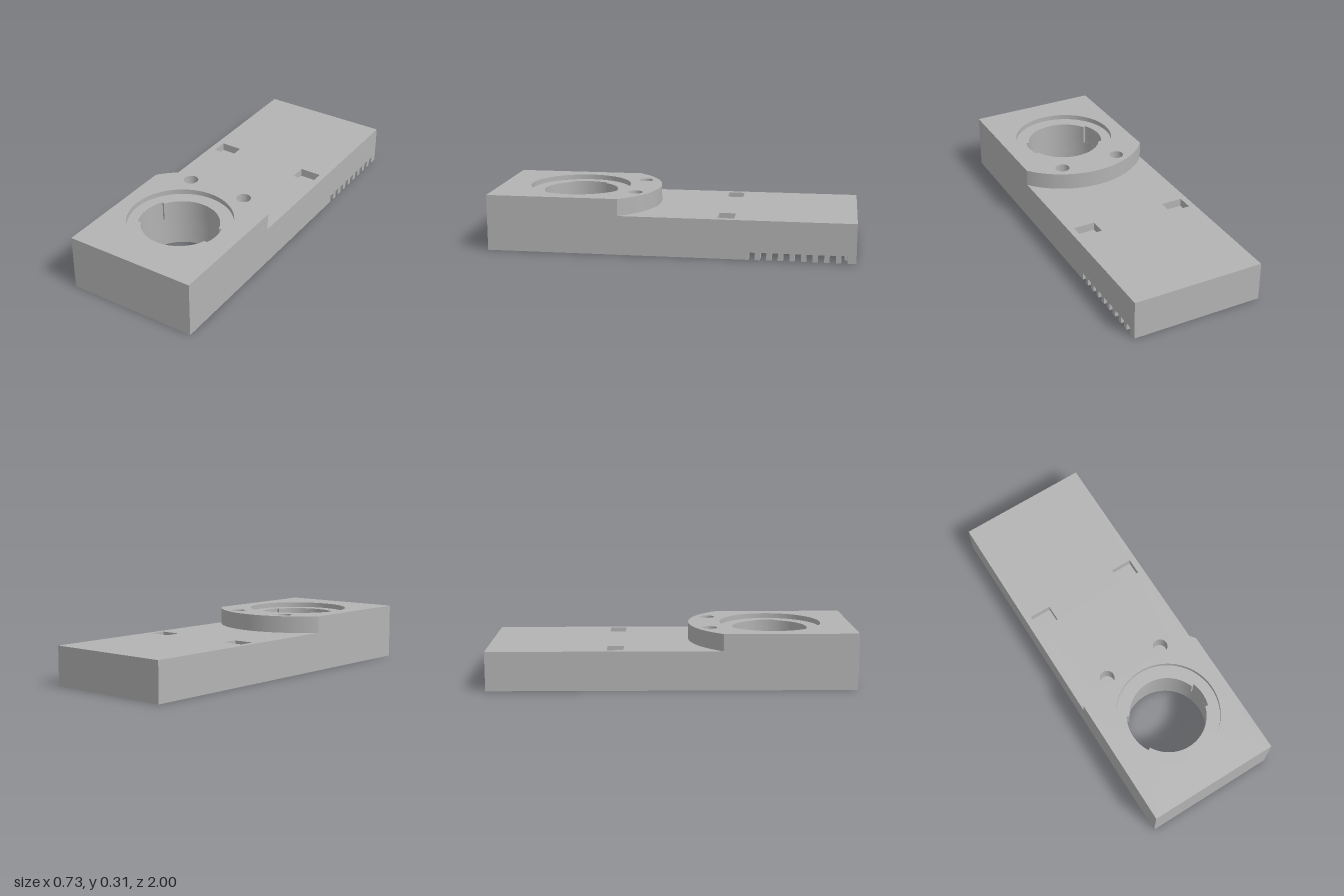
import * as THREE from 'three';
import { toCreasedNormals } from 'three/addons/utils/BufferGeometryUtils.js';

const W = 0.365, L = 1, WALL = 0.063;   // half width, half length, rim thickness
const CZ = 0.555;                       // z of the round socket
const BORE = 0.224, LIP = 0.208, TUBE = 0.282, ARC = 0.46;

// Plan outlines are drawn with shape y = -z, then extruded upwards.
const rect = (x0, x1, z0, z1, Type = THREE.Path) => {
  const p = new Type();
  p.moveTo(x0, -z1);
  p.lineTo(x1, -z1);
  p.lineTo(x1, -z0);
  p.lineTo(x0, -z0);
  p.closePath();
  return p;
};

const circle = (x, z, r, Type = THREE.Path) => {
  const p = new Type();
  p.absarc(x, -z, r, 0, Math.PI * 2, false);
  return p;
};

// Bore with one wide and one narrow key slot
function slottedBore() {
  const p = new THREE.Path();
  const a = 0.32, b = 0.51;
  p.absarc(0, -CZ, BORE, -a, a, false);
  p.absarc(0, -CZ, LIP, a, Math.PI - b, false);
  p.absarc(0, -CZ, BORE, Math.PI - b, Math.PI + b, false);
  p.absarc(0, -CZ, LIP, Math.PI + b, Math.PI * 2 - a, false);
  p.closePath();
  return p;
}

// Raised front block: straight sides, back edge rounded about the socket
function raisedOutline() {
  const s = new THREE.Shape();
  const a = Math.acos(W / ARC);
  s.moveTo(-W, -L);
  s.lineTo(W, -L);
  s.absarc(0, -CZ, ARC, a, Math.PI - a, false);
  s.closePath();
  return s;
}

// Underside rim with a row of notches cut through the +x wall
function notchedRim() {
  const s = new THREE.Shape();
  const inner = W - WALL;
  s.moveTo(-W, -L);
  s.lineTo(W, -L);
  const zs = [];
  for (let i = 0; i < 9; i++) zs.push(0.433 + i * 0.061);
  for (const z of zs) {
    // each notch leaves a hair of wall so the outline stays in one piece
    s.lineTo(W, z);
    s.lineTo(inner + 0.0005, z);
    s.lineTo(inner + 0.0005, z + 0.033);
    s.lineTo(W, z + 0.033);
  }
  s.lineTo(W, L);
  s.lineTo(-W, L);
  s.closePath();
  return s;
}

export function createModel() {
  const group = new THREE.Group();
  const grey = new THREE.MeshStandardMaterial({ color: 0xb3b3b3 });
  grey.name = 'grey';

  const layer = (name, shape, holes, y0, y1) => {
    shape.holes.push(...holes);
    const flat = new THREE.ExtrudeGeometry(shape, { depth: y1 - y0, bevelEnabled: false, curveSegments: 40 });
    flat.rotateX(-Math.PI / 2).translate(0, y0, 0);
    const mesh = new THREE.Mesh(toCreasedNormals(flat, 0.5), grey);
    mesh.name = name;
    group.add(mesh);
  };

  const plan = () => rect(-W, W, -L, L, THREE.Shape);
  const cavity = () => rect(-W + WALL, W - WALL, -L + WALL, L - WALL);
  const pockets = [-1, 1].map(s => rect(s * 0.27 - 0.06, s * 0.27 + 0.06, -0.35, -0.26));
  const pinHoles = [-1, 1].map(s => circle(s * 0.172, 0.21, 0.04));

  // Notched rim: three plain walls, a toothed wall beside them
  const inner = W - WALL;
  layer('rimLeftPlain', rect(inner, W, -0.433, L, THREE.Shape), [], 0, 0.04);
  for (let i = 0; i < 9; i++) {
    const z1 = -0.433 - i * 0.061 - 0.033;
    layer('rimTooth', rect(inner, W, i < 8 ? z1 - 0.028 : -L, z1, THREE.Shape), [], 0, 0.04);
  }
  layer('rimRight', rect(-W, -inner, -L, L, THREE.Shape), [], 0, 0.04);
  layer('rimFront', rect(-inner, inner, L - WALL, L, THREE.Shape), [], 0, 0.04);
  layer('rimBack', rect(-inner, inner, -L, -L + WALL, THREE.Shape), [], 0, 0.04);

  // Hollow underside and the socket tube hanging in it
  layer('upperRim', plan(), [cavity()], 0.04, 0.08);
  layer('socketTube', circle(0, CZ, TUBE, THREE.Shape), [circle(0, CZ, BORE)], 0, 0.08);

  // Deck, with two shallow pockets behind the socket
  layer('deckBase', plan(), [circle(0, CZ, BORE)], 0.08, 0.17);
  layer('deckTop', plan(), [slottedBore(), ...pockets], 0.17, 0.215);

  // Raised block with pin holes and a counterbore around the socket
  layer('raisedBlock', raisedOutline(), [slottedBore(), ...pinHoles], 0.215, 0.28);
  layer('raisedTop', raisedOutline(), [circle(0, CZ, TUBE), ...pinHoles], 0.28, 0.308);

  return group;
}
